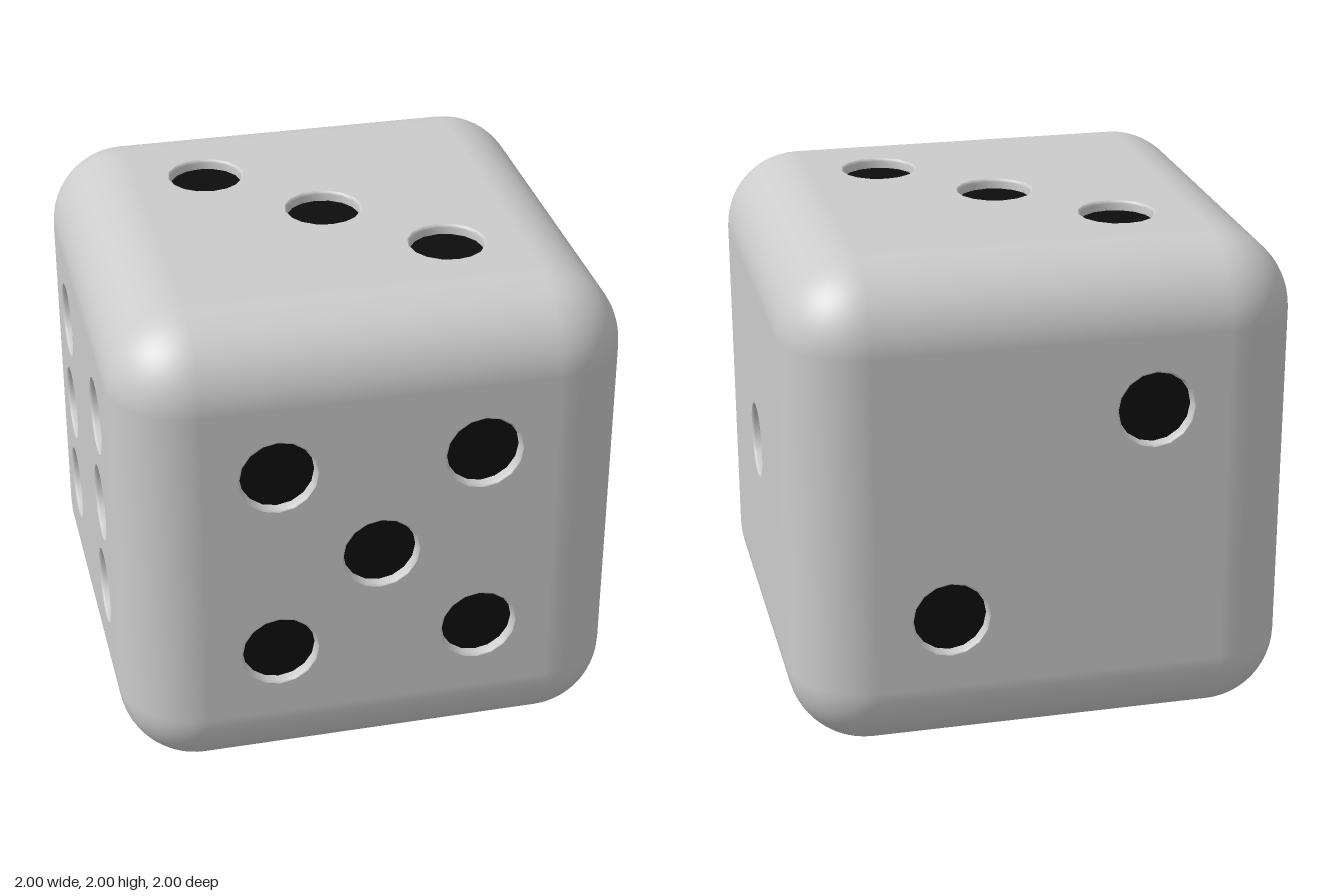
import * as THREE from 'three';
import { RoundedBoxGeometry } from 'three/addons/geometries/RoundedBoxGeometry.js';

const HALF = 1, ROUND = 0.31, FLAT = HALF - ROUND;
const PIP_SIDES = 16, RIM = 0.155, FLOOR = 0.145, DEPTH = 0.04, P = 0.4;

const grey = new THREE.MeshStandardMaterial({ color: 0xcccccc });
const black = new THREE.MeshStandardMaterial({ color: 0x0d0d0d });

// Rounded edges and corners only: the flat middles are left open for the panels
function roundedShell() {
  const full = new RoundedBoxGeometry(2 * HALF, 2 * HALF, 2 * HALF, 8, ROUND);
  const src = full.index ? full.toNonIndexed() : full;
  const pos = src.attributes.position, nor = src.attributes.normal;
  const p = [], n = [];
  const mean = (i, k) => Math.abs(pos.array[i * 3 + k] + pos.array[i * 3 + 3 + k] + pos.array[i * 3 + 6 + k]) / 3;
  for (let i = 0; i < pos.count; i += 3) {
    if (Math.max(mean(i, 0), mean(i, 1), mean(i, 2)) > HALF - 0.0001) continue;
    for (let j = i; j < i + 3; j++) {
      p.push(pos.getX(j), pos.getY(j), pos.getZ(j));
      n.push(nor.getX(j), nor.getY(j), nor.getZ(j));
    }
  }
  const geo = new THREE.BufferGeometry();
  geo.setAttribute('position', new THREE.Float32BufferAttribute(p, 3));
  geo.setAttribute('normal', new THREE.Float32BufferAttribute(n, 3));
  return geo;
}

// Recess wall with a softened lip, opening towards +z
const rimGeometry = new THREE.LatheGeometry([
  new THREE.Vector2(RIM, 0),
  new THREE.Vector2(0.149, -0.004),
  new THREE.Vector2(0.146, -0.012),
  new THREE.Vector2(FLOOR, -DEPTH),
], PIP_SIDES).rotateX(Math.PI / 2);
const floorGeometry = new THREE.CircleGeometry(FLOOR, PIP_SIDES).translate(0, 0, -DEPTH);

function addMesh(parent, name, geometry, material) {
  const mesh = new THREE.Mesh(geometry, material);
  mesh.name = name;
  parent.add(mesh);
  return mesh;
}

// One flat face, pierced by its pips, built facing +z
function makeFace(name, pips, rx, ry) {
  const face = new THREE.Group();
  face.name = name;
  const shape = new THREE.Shape([[-1, -1], [1, -1], [1, 1], [-1, 1]]
    .map(([x, y]) => new THREE.Vector2(x * FLAT, y * FLAT)));
  for (const [x, y] of pips) {
    const ring = [];
    for (let i = 0; i < PIP_SIDES; i++) {
      const a = -i / PIP_SIDES * Math.PI * 2;
      ring.push(new THREE.Vector2(x + RIM * Math.cos(a), y + RIM * Math.sin(a)));
    }
    shape.holes.push(new THREE.Path(ring));
    addMesh(face, 'pipRim', rimGeometry, grey).position.set(x, y, HALF);
    addMesh(face, 'pipFloor', floorGeometry, black).position.set(x, y, HALF);
  }
  addMesh(face, 'facePanel', new THREE.ShapeGeometry(shape), grey).position.z = HALF;
  face.rotation.set(rx, ry, 0);
  return face;
}

export function createModel() {
  const die = new THREE.Group();
  die.name = 'die';
  const body = new THREE.Group();
  body.name = 'dieBody';
  body.position.y = HALF;
  die.add(body);
  addMesh(body, 'roundedEdges', roundedShell(), grey);

  // Pip layouts
  const centre = [[0, 0]];
  const rising = [[-P, -P], [P, P]];
  const falling = [[-P, P], [P, -P]];
  const middles = [[-P, 0], [P, 0]];
  const q = Math.PI / 2;
  body.add(
    makeFace('frontFace', [...centre, ...rising, ...falling], 0, 0),
    makeFace('backFace', rising, 0, Math.PI),
    makeFace('plusXFace', centre, 0, q),
    makeFace('minusXFace', [...rising, ...falling, ...middles].map(([x, y]) => [x, y]), 0, -q),
    makeFace('topFace', [...centre, ...falling], -q, 0),
    makeFace('bottomFace', [...rising, ...falling], q, 0),
  );
  return die;
}
